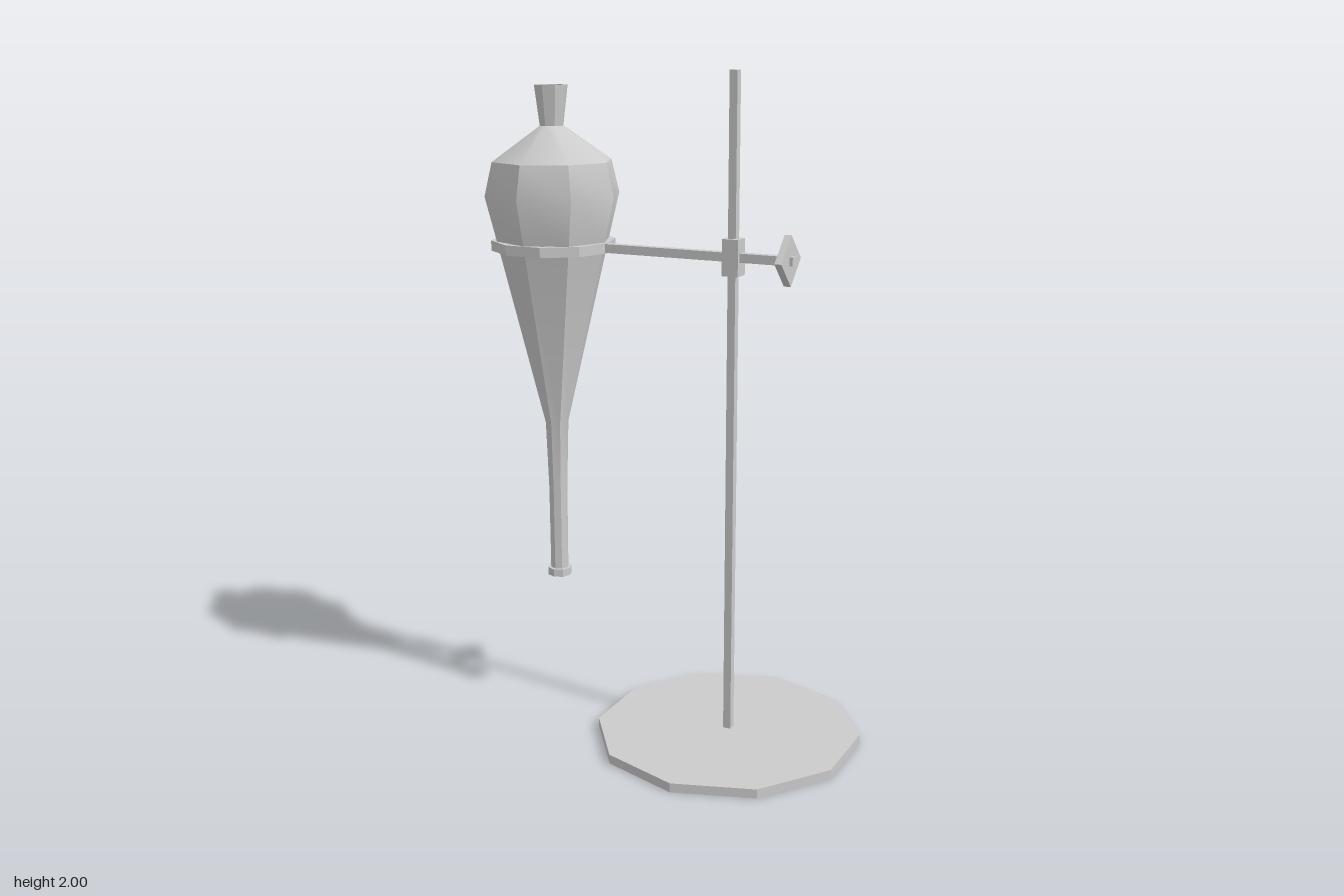
import * as THREE from 'three';
import { toCreasedNormals } from 'three/addons/utils/BufferGeometryUtils.js';

const POLE_X = 0.207, FLASK_X = -0.383, ARM_Y = 1.481;

export function createModel() {
  const model = new THREE.Group();
  model.name = 'retortStand';
  const material = new THREE.MeshStandardMaterial({ color: 0xcccccc });

  const add = (name, geometry, x, y, z = 0) => {
    const mesh = new THREE.Mesh(toCreasedNormals(geometry, Math.PI / 6), material);
    mesh.name = name;
    mesh.position.set(x, y, z);
    model.add(mesh);
    return mesh;
  };
  const box = (name, w, h, d, x, y) => add(name, new THREE.BoxGeometry(w, h, d), x, y);
  const lathe = (points, sides, phase = 0) => new THREE.LatheGeometry(
    [...points, points[0]].map(([r, y]) => new THREE.Vector2(r, y)), sides, phase);

  // Ten-sided base plate and square pole
  add('base', new THREE.CylinderGeometry(0.403, 0.403, 0.028, 10), POLE_X - 0.002, 0.014);
  box('pole', 0.024, 1.98, 0.024, POLE_X, 1.01);

  // Clamp block on the pole, cross arm and diamond-shaped thumb knob
  box('clampBlock', 0.05, 0.106, 0.05, POLE_X, ARM_Y);
  const armStart = FLASK_X + 0.178, armEnd = 0.393;
  box('arm', armEnd - armStart, 0.026, 0.026, (armStart + armEnd) / 2, ARM_Y);
  box('knob', 0.021, 0.103, 0.103, 0.373, ARM_Y).rotation.x = Math.PI / 4;

  // Support ring with a vertex pointing at the arm
  add('ring', lathe([
    [0.165, -0.015], [0.187, -0.015], [0.187, 0.015], [0.165, 0.015],
  ], 10, Math.PI / 2), FLASK_X, ARM_Y);

  // Hollow eight-sided funnel: outer wall upwards, then inner wall back down
  add('separatingFunnel', lathe([
    [0.038, 0.432], [0.038, 0.456], [0.028, 0.456], [0.029, 0.72], [0.036, 0.93],
    [0.172, 1.49], [0.207, 1.63], [0.183, 1.73], [0.036, 1.832], [0.051, 1.95],
    [0.04, 1.95], [0.027, 1.832], [0.17, 1.72], [0.195, 1.63], [0.162, 1.49],
    [0.029, 0.93], [0.024, 0.72], [0.024, 0.432],
  ], 8), FLASK_X, 0);

  return model;
}
